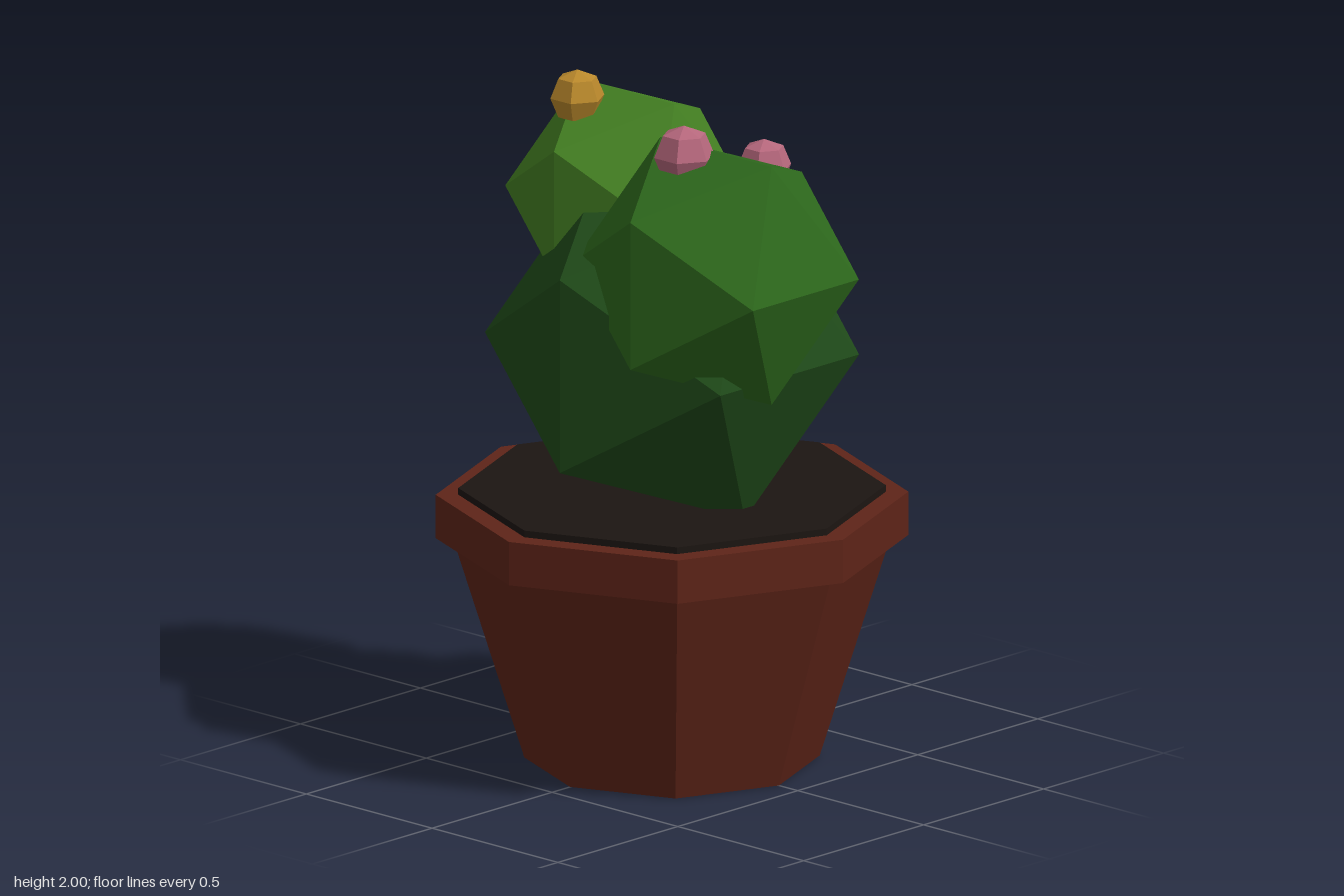
import * as THREE from 'three';

export function createModel() {
  const model = new THREE.Group();

  const add = (name, geometry, color, x, y, z) => {
    const material = new THREE.MeshStandardMaterial({ color, flatShading: true });
    const mesh = new THREE.Mesh(geometry, material);
    mesh.name = name;
    mesh.position.set(x, y, z);
    model.add(mesh);
  };

  // Eight-sided pot: tapered body, overhanging rim and soil just proud of it
  const tier = (name, rTop, rBottom, y0, y1, color) =>
    add(name, new THREE.CylinderGeometry(rTop, rBottom, y1 - y0, 8), color, 0, (y0 + y1) / 2, 0);
  tier('potBody', 0.64, 0.425, 0, 0.69, 0x5e2418);
  tier('potRim', 0.68, 0.68, 0.66, 0.79, 0x5e2418);
  tier('soil', 0.615, 0.615, 0.74, 0.81, 0x1c1512);

  // Cactus lobes: overlapping faceted balls
  const lobe = (name, r, color, x, y, z) =>
    add(name, new THREE.IcosahedronGeometry(r, 0), color, x, y, z);
  lobe('mainLobe', 0.55, 0x1f4a19, 0, 1.24, 0);
  lobe('leftLobe', 0.42, 0x2d681c, 0.277, 1.537, 0.107);
  lobe('rightLobe', 0.358, 0x437f22, -0.26, 1.62, -0.085);

  // Flower buds: small six-sided balls
  const bud = (name, r, color, x, y, z) =>
    add(name, new THREE.SphereGeometry(r, 6, 4), color, x, y, z);
  bud('yellowBud', 0.081, 0xb9882b, -0.34, 1.919, 0.038);
  bud('frontPinkBud', 0.09, 0xb5677c, 0.21, 1.883, 0.17);
  bud('backPinkBud', 0.081, 0xb5677c, 0.042, 1.708, -0.34);

  return model;
}
